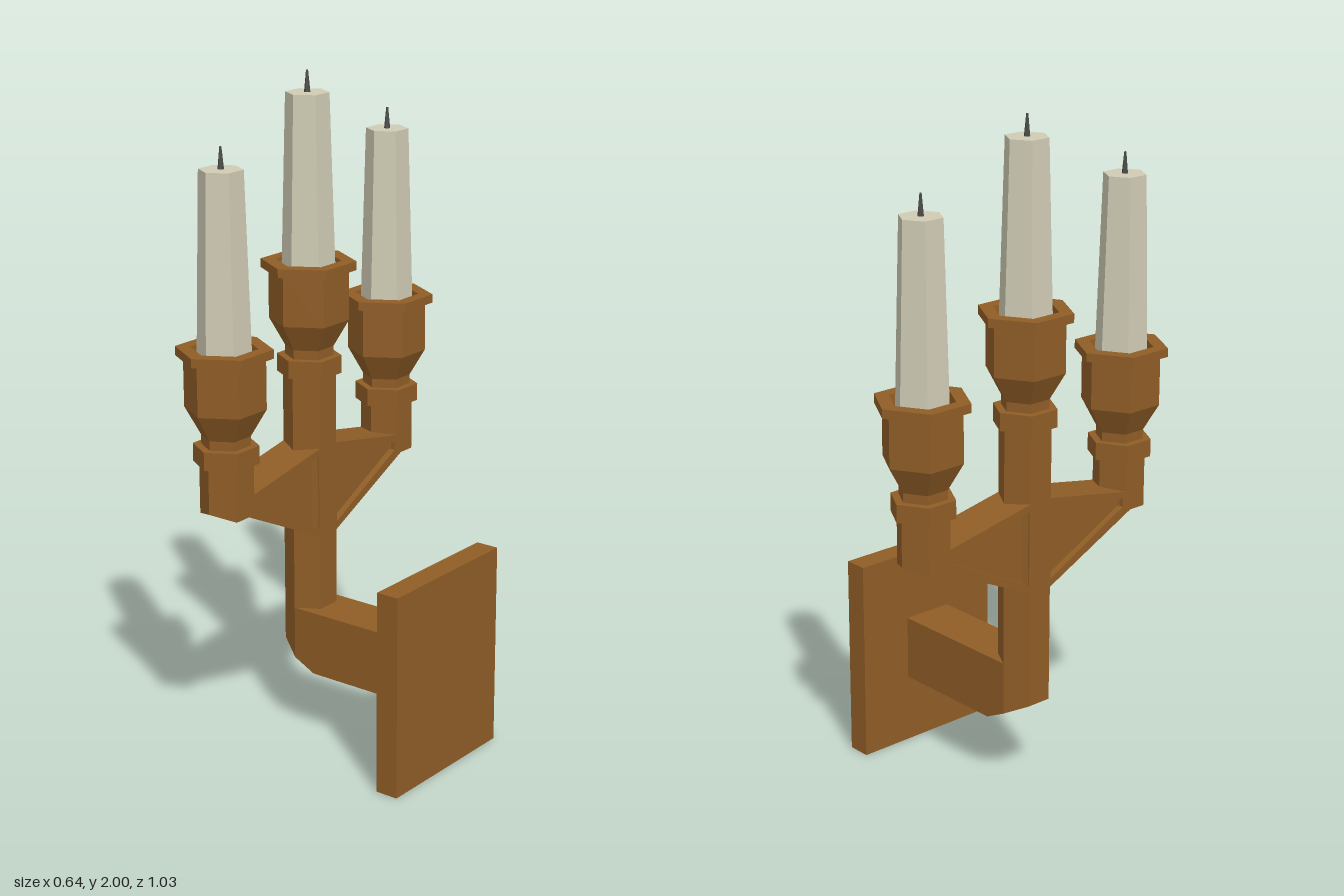
import * as THREE from 'three';

const mat = (color) => new THREE.MeshStandardMaterial({ color, flatShading: true });
const brass = mat(0x8f5d26), wax = mat(0xcfcbb4), soot = mat(0x4a4a48);
const POST_X = -0.19, STEM_R = 0.078, BEAM_W = 0.135;

function add(parent, name, geometry, material, x = 0, y = 0, z = 0) {
  const mesh = new THREE.Mesh(geometry, material);
  mesh.name = name;
  mesh.position.set(x, y, z);
  parent.add(mesh);
  return mesh;
}

const polygon = (pts, Kind = THREE.Shape) => new Kind(pts.map((p) => new THREE.Vector2(...p)));

function extrude(shape, depth) {
  const g = new THREE.ExtrudeGeometry(shape, { depth, bevelEnabled: false });
  return g.translate(0, 0, -depth / 2);
}

// Hexagonal stem whose bottom end is cut by the rule bottom(x, z)
function hexStem(top, bottom) {
  const g = new THREE.CylinderGeometry(STEM_R, STEM_R, 1, 6);
  const p = g.attributes.position;
  for (let i = 0; i < p.count; i++) {
    p.setY(i, p.getY(i) > 0 ? top : bottom(p.getX(i), p.getZ(i)));
  }
  g.computeVertexNormals();
  return g;
}

// Collar, cup with hollow rim, candle and wick, measured up from the collar base
function candleHolder(name, candleTop) {
  const holder = new THREE.Group();
  holder.name = name;
  const profile = [
    [0, 0], [0.095, 0], [0.095, 0.053], [0.071, 0.053], [0.071, 0.08],
    [0.117, 0.16], [0.117, 0.308], [0.139, 0.308], [0.139, 0.334],
    [0.096, 0.334], [0.09, 0.28], [0, 0.28],
  ].map((p) => new THREE.Vector2(...p));
  add(holder, 'cup', new THREE.LatheGeometry(profile, 6), brass);
  const h = candleTop - 0.28;
  add(holder, 'candle', new THREE.CylinderGeometry(0.063, 0.079, h, 6), wax, 0, 0.28 + h / 2);
  add(holder, 'wick', new THREE.CylinderGeometry(0.003, 0.009, 0.062, 6), soot, 0, candleTop + 0.031);
  return holder;
}

// Tapering side beam with a sunken panel on both faces, reaching along +z
function sideArm(name) {
  const arm = new THREE.Group();
  arm.name = name;
  const frame = polygon([[0, 0.617], [0.04, 0.635], [0.37, 0.795], [0.37, 0.845], [0.305, 0.857], [0.04, 0.907], [0, 0.907]]);
  frame.holes.push(polygon([[0.042, 0.66], [0.042, 0.885], [0.328, 0.832], [0.328, 0.806]], THREE.Path));
  add(arm, 'armFrame', extrude(frame, BEAM_W).rotateY(-Math.PI / 2), brass);
  const web = polygon([[0.03, 0.645], [0.34, 0.802], [0.34, 0.838], [0.03, 0.892]]);
  add(arm, 'armPanel', extrude(web, BEAM_W - 0.04).rotateY(-Math.PI / 2), brass);
  // Upright stem with a slanted outer bottom
  const stem = hexStem(0.95, (x, z) => (z > 0.05 ? 0.81 : 0.79));
  add(arm, 'sideStem', stem, brass, 0, 0, 0.375);
  const holder = candleHolder('sideHolder', 0.835);
  holder.position.set(0, 0.945, 0.375);
  arm.add(holder);
  return arm;
}

export function createModel() {
  const model = new THREE.Group();
  model.name = 'wallCandelabra';
  const body = new THREE.Group();
  body.name = 'body';
  body.rotation.y = -0.027;
  model.add(body);

  // Wall plate and the bracket leading to the post
  add(body, 'wallPlate', new THREE.BoxGeometry(0.071, 0.615, 0.492), brass, 0.278, 0.3075, 0);
  const bracket = polygon([[POST_X, 0.245], [-0.12, 0.21], [0.25, 0.21], [0.25, 0.405], [POST_X, 0.405]]);
  add(body, 'bracket', extrude(bracket, 0.156), brass);

  // Central post, its foot cut at a slant to meet the bracket
  const candelabra = new THREE.Group();
  candelabra.name = 'candelabra';
  candelabra.position.x = POST_X;
  body.add(candelabra);
  add(candelabra, 'centrePost', hexStem(1.13, (x) => 0.245 - x * 0.52), brass);
  const centre = candleHolder('centreHolder', 0.817);
  centre.position.y = 1.121;
  candelabra.add(centre);

  // Side arms, front and back
  ['frontArm', 'backArm'].forEach((name, i) => {
    const arm = sideArm(name);
    arm.rotation.y = i * Math.PI;
    candelabra.add(arm);
  });
  return model;
}
